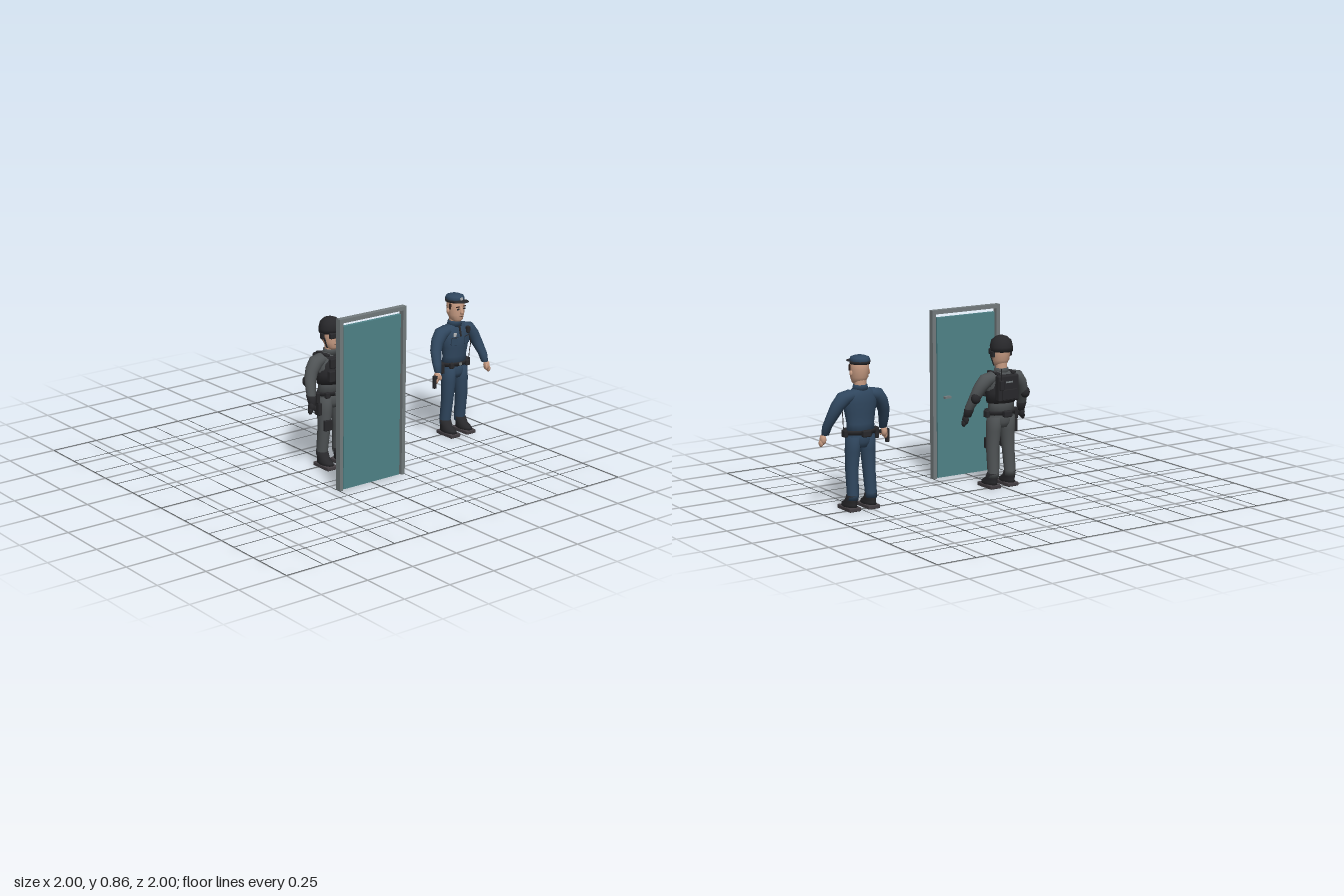
import * as THREE from 'three';
import { RoundedBoxGeometry } from 'three/addons/geometries/RoundedBoxGeometry.js';

const paint = (name, color) => {
  const m = new THREE.MeshStandardMaterial({ color });
  m.name = name;
  return m;
};
const M = {
  navy: paint('navy cloth', 0x30475f),
  grey: paint('grey cloth', 0x4f5355),
  black: paint('black gear', 0x28282b),
  sole: paint('sole rubber', 0x443f43),
  skin: paint('skin', 0xc99d84),
  hair: paint('dark hair', 0x3a2822),
  silver: paint('silver', 0xb4b6b8),
  frame: paint('frame grey', 0x737b7d),
  door: paint('door teal', 0x4f8388),
  line: paint('floor line', 0x54585a),
};

function add(parent, name, geometry, material, x = 0, y = 0, z = 0) {
  const mesh = new THREE.Mesh(geometry, material);
  mesh.name = name;
  mesh.position.set(x, y, z);
  parent.add(mesh);
  return mesh;
}
const box = (p, name, mat, w, h, d, x, y, z) =>
  add(p, name, new THREE.BoxGeometry(w, h, d), mat, x, y, z);
const soft = (p, name, mat, w, h, d, x, y, z) =>
  add(p, name, new RoundedBoxGeometry(w, h, d, 2, Math.min(w, h, d) * 0.25), mat, x, y, z);
const rod = (p, name, mat, r, h, x, y, z) =>
  add(p, name, new THREE.CylinderGeometry(r, r, h, 16), mat, x, y, z);
const ball = (p, name, mat, rx, ry, rz, x, y, z) =>
  add(p, name, new THREE.SphereGeometry(1, 18, 12).scale(rx, ry, rz), mat, x, y, z);

// Closed smooth body through elliptical rings [x, y, z, rx, rz, tilt], bottom to top
function loft(p, name, mat, rings, side = 1, n = 18) {
  const pos = [], idx = [];
  for (const [x, y, z, rx, rz, tilt = 0] of rings) {
    const t = tilt * side;
    for (let j = 0; j < n; j++) {
      const a = (j / n) * Math.PI * 2, u = Math.cos(a) * rx;
      pos.push(x * side + u * Math.cos(t), y + u * Math.sin(t), z + Math.sin(a) * rz);
    }
  }
  const last = rings.length - 1, c = rings.length * n;
  for (const i of [0, last]) pos.push(rings[i][0] * side, rings[i][1], rings[i][2]);
  for (let j = 0; j < n; j++) {
    const k = (j + 1) % n;
    for (let i = 0; i < last; i++) {
      const a = i * n + j, b = i * n + k;
      idx.push(a, a + n, b, b, a + n, b + n);
    }
    idx.push(c, j, k, c + 1, last * n + k, last * n + j);
  }
  const g = new THREE.BufferGeometry();
  g.setAttribute('position', new THREE.Float32BufferAttribute(pos, 3));
  g.setIndex(idx);
  g.computeVertexNormals();
  return add(p, name, g, mat);
}

// Body, clothes, shoes and face shared by both people
function person(name, cloth, handMat) {
  const p = new THREE.Group();
  p.name = name;
  loft(p, 'torso', cloth, [
    [0, 0.37, -0.004, 0.073, 0.046], [0, 0.42, -0.003, 0.07, 0.045], [0, 0.47, 0, 0.078, 0.05],
    [0, 0.52, -0.002, 0.088, 0.052], [0, 0.555, -0.006, 0.082, 0.045],
    [0, 0.576, -0.008, 0.058, 0.036], [0, 0.588, -0.006, 0.033, 0.031]]);
  loft(p, 'hips', cloth, [[0, 0.305, 0, 0.03, 0.033], [0, 0.33, 0, 0.064, 0.042],
    [0, 0.38, -0.003, 0.074, 0.046]]);
  for (const s of [1, -1]) {
    loft(p, 'leg', cloth, [
      [0.05, 0.055, -0.008, 0.027, 0.03], [0.049, 0.08, -0.008, 0.028, 0.031],
      [0.046, 0.2, 0.004, 0.031, 0.034], [0.041, 0.29, 0.003, 0.036, 0.04],
      [0.038, 0.36, 0, 0.036, 0.042]], s);
    loft(p, 'arm', cloth, [
      [0.157, 0.368, 0.056, 0.018, 0.018, 0.05], [0.153, 0.41, 0.042, 0.024, 0.024, 0.05],
      [0.138, 0.465, 0.014, 0.029, 0.029, 0.25], [0.118, 0.51, 0.002, 0.033, 0.033, 0.5],
      [0.088, 0.545, -0.005, 0.037, 0.038, 0.85], [0.05, 0.56, -0.006, 0.026, 0.036, 1.2]], s);
    ball(p, 'hand', handMat, 0.015, 0.026, 0.019, s * 0.166, 0.347, 0.061);
    ball(p, 'fingers', handMat, 0.01, 0.018, 0.014, s * 0.175, 0.329, 0.064);
    ball(p, 'thumb', handMat, 0.007, 0.015, 0.007, s * 0.154, 0.342, 0.074);
    // Shoe with sole
    soft(p, 'sole', M.sole, 0.062, 0.02, 0.122, s * 0.052, 0.01, 0.024);
    loft(p, 'shoe', M.black, [
      [0.052, 0.014, 0.024, 0.03, 0.059], [0.052, 0.032, 0.022, 0.029, 0.055],
      [0.051, 0.048, 0.006, 0.027, 0.039], [0.05, 0.078, -0.007, 0.029, 0.032]], s);
    // Face, one half each
    ball(p, 'ear', M.skin, 0.007, 0.014, 0.009, s * 0.047, 0.66, -0.004);
    soft(p, 'eye', M.black, 0.015, 0.007, 0.006, s * 0.019, 0.672, 0.045);
    soft(p, 'eyebrow', M.hair, 0.022, 0.005, 0.006, s * 0.02, 0.684, 0.044);
  }
  rod(p, 'neck', M.skin, 0.029, 0.06, 0, 0.6, -0.006);
  loft(p, 'head', M.skin, [
    [0, 0.603, 0.014, 0.02, 0.022], [0, 0.615, 0.008, 0.033, 0.036], [0, 0.64, 0.002, 0.043, 0.045],
    [0, 0.68, 0, 0.046, 0.048], [0, 0.71, -0.002, 0.044, 0.046], [0, 0.728, -0.002, 0.025, 0.028]]);
  loft(p, 'nose', M.skin, [[0, 0.646, 0.047, 0.009, 0.01], [0, 0.655, 0.048, 0.008, 0.012],
    [0, 0.682, 0.044, 0.004, 0.005]]);
  box(p, 'mouth', M.hair, 0.022, 0.003, 0.004, 0, 0.632, 0.044);
  // Belt with buckle and pouches
  loft(p, 'belt', M.black, [[0, 0.37, -0.003, 0.077, 0.05], [0, 0.39, -0.003, 0.077, 0.05]]);
  soft(p, 'buckle', M.frame, 0.016, 0.014, 0.006, 0, 0.38, 0.048);
  for (const x of [-0.052, 0.052]) soft(p, 'beltPouch', M.black, 0.025, 0.03, 0.02, x, 0.378, 0.04);
  soft(p, 'sidePouch', M.black, 0.02, 0.034, 0.034, 0.083, 0.376, 0);
  soft(p, 'backPouch', M.black, 0.046, 0.032, 0.026, 0, 0.377, -0.06);
  soft(p, 'holster', M.black, 0.02, 0.055, 0.032, -0.087, 0.363, 0.002);
  return p;
}

function officer() {
  const p = person('officer', M.navy, M.skin);
  // Collar, tie, pockets and badge
  loft(p, 'collar', M.navy, [[0, 0.575, -0.006, 0.042, 0.037], [0, 0.604, -0.006, 0.033, 0.033]]);
  soft(p, 'tie', M.black, 0.009, 0.055, 0.008, 0, 0.554, 0.041).rotation.x = -0.25;
  for (const s of [1, -1]) {
    soft(p, 'chestPocket', M.navy, 0.038, 0.038, 0.01, s * 0.04, 0.505, 0.044).rotation.y = s * 0.3;
    box(p, 'pocketFlap', M.black, 0.036, 0.002, 0.006, s * 0.04, 0.525, 0.047).rotation.y = s * 0.3;
    soft(p, 'sideburn', M.hair, 0.006, 0.03, 0.014, s * 0.0445, 0.685, 0.01);
  }
  soft(p, 'badge', M.silver, 0.018, 0.02, 0.006, -0.038, 0.541, 0.046);
  soft(p, 'shoulderRadio', M.black, 0.02, 0.035, 0.02, 0.055, 0.553, 0.037);
  const cord = new THREE.CatmullRomCurve3([[0.055, 0.54, 0.04], [0.068, 0.49, 0.045], [0.075, 0.44, 0.03],
    [0.078, 0.385, 0.02]].map((v) => new THREE.Vector3(...v)));
  add(p, 'radioCord', new THREE.TubeGeometry(cord, 16, 0.002, 6), M.black);
  // Cap
  loft(p, 'cap', M.navy, [[0, 0.704, -0.006, 0.045, 0.051], [0, 0.722, -0.006, 0.048, 0.053],
    [0, 0.734, -0.006, 0.043, 0.047], [0, 0.741, -0.006, 0.025, 0.028]]);
  loft(p, 'capBand', M.black, [[0, 0.703, -0.006, 0.047, 0.052], [0, 0.717, -0.006, 0.048, 0.0535]]);
  ball(p, 'capVisor', M.black, 0.042, 0.005, 0.04, 0, 0.711, 0.042);
  soft(p, 'capBadge', M.silver, 0.016, 0.014, 0.006, 0, 0.724, 0.046);
  // Pistol in the right hand
  soft(p, 'pistolSlide', M.black, 0.018, 0.068, 0.018, -0.187, 0.324, 0.066);
  soft(p, 'pistolGrip', M.black, 0.044, 0.018, 0.016, -0.168, 0.347, 0.068);
  return p;
}

function tacticalOfficer() {
  const p = person('tacticalOfficer', M.grey, M.black);
  // Vest with front pouches
  loft(p, 'vest', M.black, [[0, 0.43, -0.002, 0.077, 0.055], [0, 0.48, 0, 0.083, 0.06],
    [0, 0.525, -0.002, 0.078, 0.058], [0, 0.57, -0.006, 0.056, 0.045]]);
  for (const x of [-0.045, 0, 0.045]) soft(p, 'vestPouch', M.black, 0.036, 0.058, 0.026, x, 0.48, 0.064);
  soft(p, 'chestPlate', M.black, 0.09, 0.05, 0.024, 0, 0.54, 0.05);
  // Backpack and radio
  soft(p, 'backpack', M.black, 0.12, 0.13, 0.037, 0, 0.507, -0.057);
  soft(p, 'backpackPocket', M.black, 0.085, 0.05, 0.01, 0, 0.477, -0.077);
  box(p, 'backPatch', M.frame, 0.04, 0.008, 0.003, 0, 0.538, -0.076);
  soft(p, 'radio', M.black, 0.022, 0.05, 0.018, 0.046, 0.525, -0.078);
  rod(p, 'antenna', M.black, 0.002, 0.065, 0.048, 0.575, -0.08);
  for (const s of [1, -1]) {
    soft(p, 'shoulderStrap', M.black, 0.022, 0.012, 0.09, s * 0.045, 0.578, -0.006);
    soft(p, 'kneePad', M.black, 0.046, 0.056, 0.02, s * 0.046, 0.222, 0.036);
    ball(p, 'elbowPad', M.black, 0.025, 0.028, 0.022, s * 0.145, 0.46, 0);
    loft(p, 'gloveCuff', M.black, [[0.158, 0.36, 0.058, 0.019, 0.019, 0.05],
      [0.155, 0.4, 0.045, 0.025, 0.025, 0.05]], s);
    soft(p, 'earCup', M.black, 0.014, 0.03, 0.026, s * 0.05, 0.67, -0.004);
    soft(p, 'chinStrap', M.black, 0.006, 0.06, 0.008, s * 0.041, 0.638, 0.012).rotation.z = -s * 0.35;
  }
  loft(p, 'collar', M.grey, [[0, 0.57, -0.006, 0.042, 0.037], [0, 0.6, -0.006, 0.034, 0.034]]);
  soft(p, 'thighHolster', M.black, 0.022, 0.065, 0.04, -0.08, 0.305, 0.002);
  // Helmet and goggles
  loft(p, 'helmet', M.black, [[0, 0.682, -0.01, 0.054, 0.053], [0, 0.705, -0.006, 0.056, 0.059],
    [0, 0.735, -0.006, 0.049, 0.052], [0, 0.753, -0.006, 0.03, 0.033], [0, 0.76, -0.006, 0.01, 0.011]]);
  soft(p, 'goggles', M.black, 0.078, 0.028, 0.022, 0, 0.676, 0.042);
  return p;
}

function doorway() {
  const g = new THREE.Group();
  g.name = 'doorway';
  for (const s of [1, -1]) box(g, 'framePost', M.frame, 0.02, 0.855, 0.03, s * 0.19, 0.4275, 0.319);
  box(g, 'frameHead', M.frame, 0.36, 0.02, 0.03, 0, 0.845, 0.319);
  box(g, 'doorPanel', M.door, 0.342, 0.814, 0.018, -0.001, 0.41, 0.319);
  // Handle on the rear face
  box(g, 'handlePlate', M.frame, 0.034, 0.012, 0.012, 0.119, 0.412, 0.304);
  box(g, 'handleLever', M.frame, 0.036, 0.01, 0.01, 0.119, 0.412, 0.294);
  return g;
}

// Thin floor grid, ten squares each way
function floorGrid() {
  const g = new THREE.Group();
  g.name = 'floorGrid';
  for (let i = -5; i <= 5; i++) {
    const c = i * 0.1998;
    box(g, 'gridLineAcross', M.line, 2, 0.002, 0.002, 0, 0.001, c);
    box(g, 'gridLineAlong', M.line, 0.002, 0.002, 2, c, 0.001, 0);
  }
  return g;
}

export function createModel() {
  const model = new THREE.Group();
  model.name = 'doorEntryScene';
  const police = officer();
  police.position.x = 0.795;
  model.add(floorGrid(), doorway(), police, tacticalOfficer());
  return model;
}
